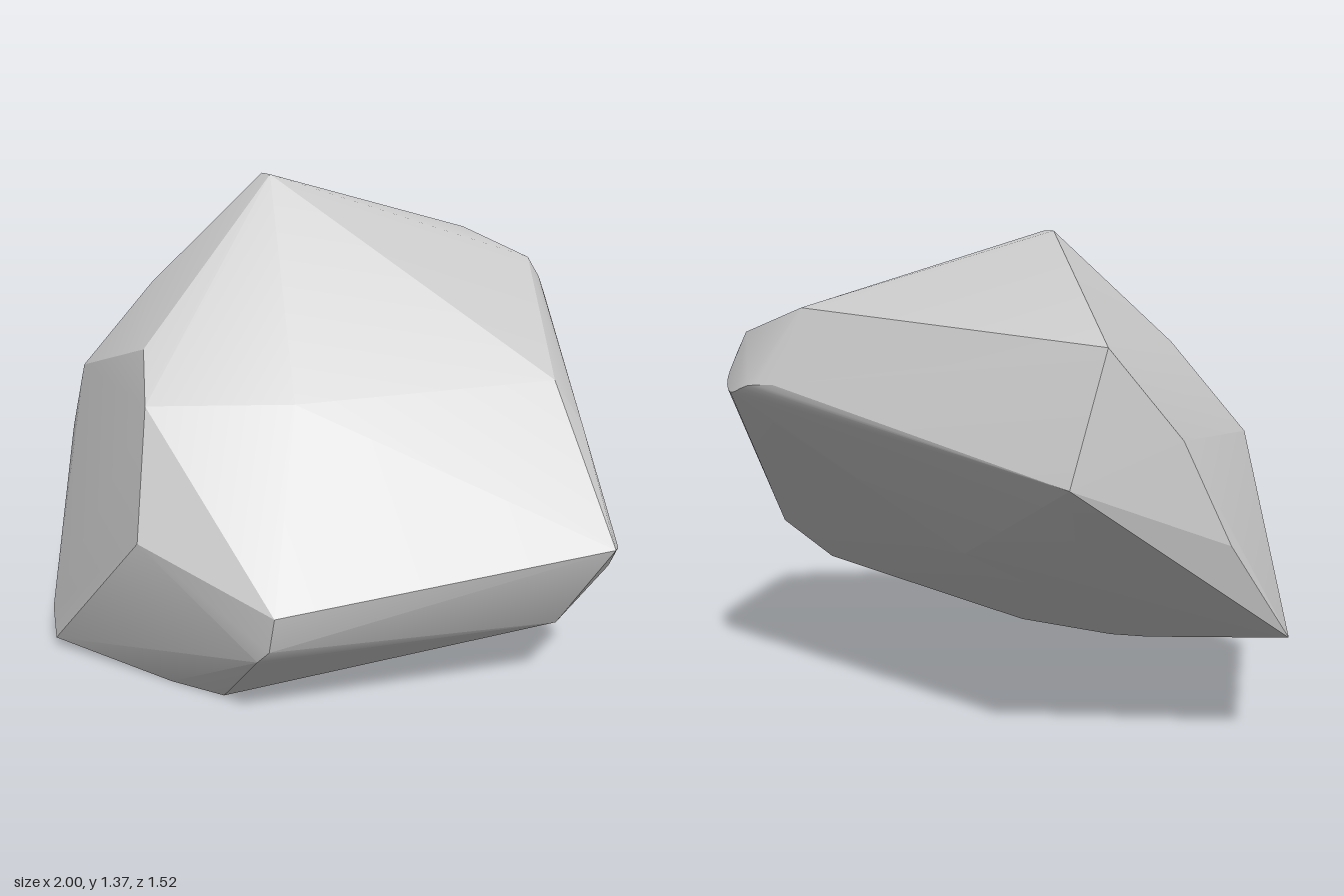
import * as THREE from 'three';
import { ConvexGeometry } from 'three/addons/geometries/ConvexGeometry.js';
import { toCreasedNormals } from 'three/addons/utils/BufferGeometryUtils.js';

const v = (p) => new THREE.Vector3(...p);

// Corners of the boulder, grouped by region
const crown = [
  [-0.2, 1.37, -0.1], [-0.25, 1.37, -0.13], [-0.74, 1.12, -0.63],
  [0.2, 1.17, -0.67], [0.44, 1.09, -0.65], [0.74, 0.84, -0.11],
];
const frontFace = [
  [0.2, 0.82, 0.42], [0.33, 0.35, 0.74], [0.31, 0.25, 0.735], [0.27, 0.21, 0.73],
  [-0.09, 0.475, 0.755], [-0.16, 0.81, 0.61], [-0.26, 0.93, 0.48],
];
const rightSide = [
  [-0.47, 1.05, 0.16], [-0.66, 0.79, 0.27], [-0.68, 0.6, 0.31], [-0.58, 0.1, 0.56],
  [-1, 0.34, -0.14], [-0.93, 0.62, -0.35], [-0.85, 0.89, -0.46],
];
const underside = [
  [-0.53, 0.03, 0.61], [-0.1, 0, 0.61], [0.08, 0.005, 0.61], [0.85, 0.2, 0.09],
  [0.06, 0.1, 0.16], [-0.33, 0.15, 0.08], [-0.5, 0.2, 0],
  [-0.2, 0.51, -0.48], [-0.58, 0.56, -0.5], [-0.71, 0.8, -0.74],
];

// Worn edges: a smooth curve across each end of the rounded back-left ridge
const backCorner = [
  [0.48, 1.03, -0.65], [0.49, 0.96, -0.68], [0.42, 0.93, -0.735], [0.32, 0.96, -0.762], [0.22, 0.97, -0.764],
];
const sideTip = [[1, 0.44, 0.07], [0.985, 0.42, 0], [0.95, 0.345, -0.04]];
const smooth = (pts, n) => new THREE.CatmullRomCurve3(pts.map(v)).getPoints(n);

export function createModel() {
  const group = new THREE.Group();
  group.name = 'boulder';

  const points = [
    ...[...crown, ...frontFace, ...rightSide, ...underside].map(v),
    ...smooth(backCorner, 12),
    ...smooth(sideTip, 6),
    v([0.82, 0.72, -0.13]),
  ];

  // Broad facets meet at sharp edges; shallow breaks and worn edges stay soft
  const geometry = toCreasedNormals(new ConvexGeometry(points), 0.3);
  const rock = new THREE.Mesh(geometry, new THREE.MeshStandardMaterial({ color: 0xcccccc }));
  rock.name = 'rock';
  group.add(rock);
  return group;
}
